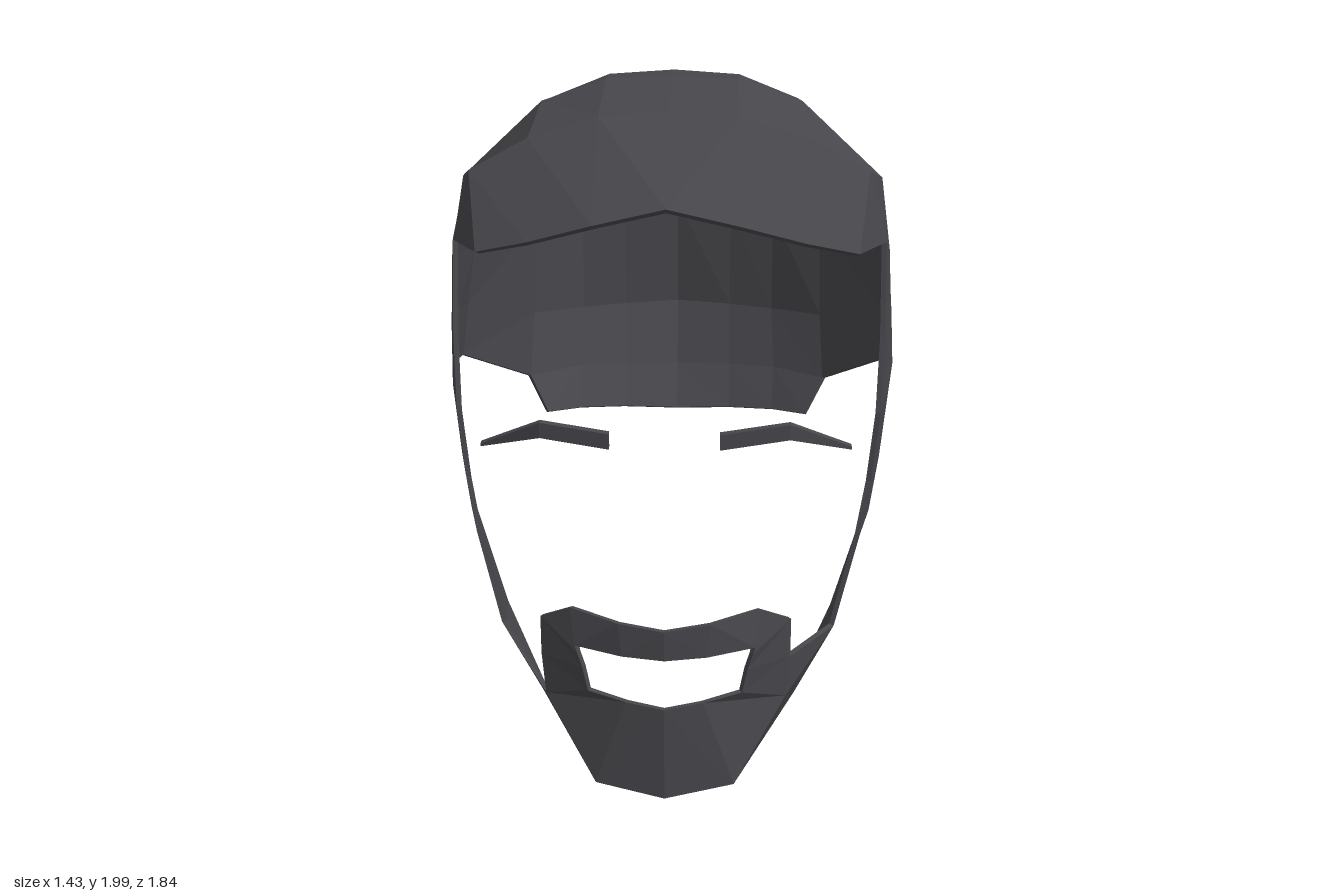
import * as THREE from 'three';
import { mergeVertices } from 'three/addons/utils/BufferGeometryUtils.js';

const material = new THREE.MeshStandardMaterial({ color: 0x47464b, flatShading: true, side: THREE.DoubleSide });
const THICKNESS = 0.015;
const HEAD_CENTRE = new THREE.Vector3(0, 1, 0);

// Triangles between neighbouring cross-sections of equal length
function loft(sections) {
  const tris = [];
  for (let i = 0; i + 1 < sections.length; i++) {
    for (let j = 0; j + 1 < sections[i].length; j++) {
      const [a, b, c, d] = [sections[i][j], sections[i][j + 1], sections[i + 1][j + 1], sections[i + 1][j]];
      tris.push([a, b, c], [a, c, d]);
    }
  }
  return tris;
}

const mirror = (tris) => tris.map((t) => t.map(([x, y, z]) => [-x, y, z]));

// Thin solid wall: outer skin facing away from the head, inner skin and rim
function shell(tris) {
  const flat = [];
  for (const t of tris) {
    const [a, b, c] = t.map((p) => new THREE.Vector3(...p));
    const normal = b.clone().sub(a).cross(c.clone().sub(a));
    if (normal.length() < 1e-7) continue;
    const out = a.clone().add(b).add(c).divideScalar(3).sub(HEAD_CENTRE);
    for (const p of normal.dot(out) < 0 ? [a, c, b] : [a, b, c]) flat.push(p.x, p.y, p.z);
  }
  let skin = new THREE.BufferGeometry();
  skin.setAttribute('position', new THREE.Float32BufferAttribute(flat, 3));
  skin = mergeVertices(skin);
  skin.computeVertexNormals();

  const pos = skin.attributes.position, nor = skin.attributes.normal, n = pos.count;
  const points = Array.from(pos.array);
  for (let i = 0; i < n * 3; i++) points.push(pos.array[i] - nor.array[i] * THICKNESS);
  const index = [], edges = new Set(), idx = skin.index.array;
  for (let i = 0; i < idx.length; i += 3) {
    const [a, b, c] = [idx[i], idx[i + 1], idx[i + 2]];
    index.push(a, b, c, a + n, c + n, b + n);
    for (const e of [[a, b], [b, c], [c, a]]) edges.add(e.join());
  }
  for (const e of edges) {
    const [a, b] = e.split(',').map(Number);
    if (!edges.has([b, a].join())) index.push(b, a, a + n, b, a + n, b + n);
  }
  return solid(points, index);
}

function solid(points, index) {
  const g = new THREE.BufferGeometry();
  g.setAttribute('position', new THREE.Float32BufferAttribute(points, 3));
  g.setIndex(index);
  const result = g.toNonIndexed();
  result.computeVertexNormals();
  return result;
}

function addMesh(group, name, geometry) {
  const mesh = new THREE.Mesh(geometry, material);
  mesh.name = name;
  group.add(mesh);
}

// Crown and back: sections from the fringe over the top to the nape, centre to side
function hair() {
  const crown = loft([
    [[0, 1.73, 0.685], [0.2, 1.685, 0.69], [0.38, 1.63, 0.65], [0.53, 1.59, 0.6]],
    [[0, 1.94, 0.37], [0.2, 1.93, 0.38], [0.4, 1.87, 0.39], [0.57, 1.78, 0.4]],
    [[0, 2, 0.04], [0.2, 1.99, 0.03], [0.4, 1.92, 0.01], [0.65, 1.69, 0.02]],
    [[0, 1.98, -0.28], [0.21, 1.965, -0.285], [0.4, 1.89, -0.28], [0.62, 1.66, -0.25]],
    [[0, 1.79, -0.71], [0.25, 1.77, -0.68], [0.4, 1.69, -0.65], [0.5, 1.59, -0.63]],
    [[0, 1.42, -0.905], [0.2, 1.41, -0.87], [0.36, 1.4, -0.815], [0.53, 1.38, -0.72]],
    [[0, 1.03, -0.917], [0.2, 1.03, -0.87], [0.36, 1.03, -0.81], [0.54, 1.04, -0.69]],
    [[0, 0.8, -0.83], [0.2, 0.81, -0.79], [0.37, 0.82, -0.73], [0.55, 0.82, -0.61]],
    [[0, 0.65, -0.74], [0.2, 0.665, -0.71], [0.36, 0.68, -0.65], [0.48, 0.69, -0.57]],
  ]);
  // Sides: columns from the back corner to the temple, top to bottom
  const side = loft([
    [[0.5, 1.59, -0.63], [0.53, 1.38, -0.72], [0.54, 1.04, -0.69], [0.55, 0.82, -0.61]],
    [[0.62, 1.66, -0.25], [0.675, 1.4, -0.2], [0.7, 1.22, -0.16], [0.715, 1.06, -0.12]],
    [[0.65, 1.69, 0.02], [0.68, 1.46, 0.03], [0.695, 1.27, 0.05], [0.705, 1.1, 0.06]],
    [[0.61, 1.735, 0.21], [0.66, 1.5, 0.22], [0.67, 1.27, 0.24], [0.67, 1.09, 0.27]],
    [[0.57, 1.78, 0.4], [0.63, 1.57, 0.37], [0.63, 1.3, 0.44], [0.62, 1.09, 0.5]],
  ]);
  const temple = [[[0.53, 1.59, 0.6], [0.57, 1.78, 0.4], [0.63, 1.57, 0.37]]];
  const half = [...crown, ...side, ...temple];
  return shell([...half, ...mirror(half)]);
}

function beard() {
  const cheek = [0.5, 0.44, 0.585], jaw = [0.39, 0.17, 0.52];
  const lipSide = [0.36, 0.44, 0.77], chinSide = [0.35, 0.31, 0.77];
  const chin = [0.2, 0.08, 0.88], chinTip = [0, 0.055, 0.92], throat = [0, 0.01, 0.79];
  // Sideburn strip running down to the jaw
  const sideburn = loft([
    [[0.62, 1.09, 0.5], [0.67, 1.09, 0.27]],
    [[0.6, 0.88, 0.51], [0.645, 0.88, 0.31]],
    [[0.57, 0.72, 0.545], [0.615, 0.72, 0.36]],
    [cheek, [0.515, 0.43, 0.44]],
    [cheek, jaw],
  ]);
  // Ring around the mouth
  const goatee = loft([
    [[0, 0.59, 0.915], [0, 0.5, 0.915]],
    [[0.13, 0.605, 0.895], [0.12, 0.505, 0.9]],
    [[0.27, 0.615, 0.82], [0.255, 0.51, 0.85]],
    [[0.36, 0.56, 0.77], [0.25, 0.49, 0.85]],
    [lipSide, [0.235, 0.44, 0.85]],
    [chinSide, [0.22, 0.365, 0.85]],
    [chin, [0.11, 0.35, 0.885]],
    [chinTip, [0, 0.34, 0.91]],
  ]);
  // Jaw and underside of the chin
  const under = [[cheek, chinSide, jaw], [chinSide, chin, jaw], [chin, throat, jaw], [chin, chinTip, throat]];
  const half = [...sideburn, ...goatee, ...under];
  // The left cheek is filled a little higher
  return shell([...half, ...mirror(half), [cheek, lipSide, chinSide]]);
}

// Eyebrow: four-cornered sections from the nose outwards
function eyebrow(side) {
  const points = [], index = [];
  for (const [x, y, z, h] of [[0.15, 1.13, 0.84, 0.022], [0.34, 1.15, 0.81, 0.022], [0.515, 1.075, 0.73, 0.004]]) {
    for (const [dy, dz] of [[-h, -0.012], [h, -0.012], [h, 0.012], [-h, 0.012]]) points.push(side * x, y + dy, z + dz);
  }
  for (const s of [0, 4]) {
    for (let i = 0; i < 4; i++) {
      const a = s + i, b = s + (i + 1) % 4;
      index.push(a, b, b + 4, a, b + 4, a + 4);
    }
  }
  index.push(0, 2, 1, 0, 3, 2, 8, 9, 10, 8, 10, 11);
  if (side < 0) index.reverse();
  return solid(points, index);
}

export function createModel() {
  const group = new THREE.Group();
  group.name = 'hairAndBeard';
  addMesh(group, 'hair', hair());
  addMesh(group, 'beard', beard());
  addMesh(group, 'leftEyebrow', eyebrow(1));
  addMesh(group, 'rightEyebrow', eyebrow(-1));
  return group;
}
